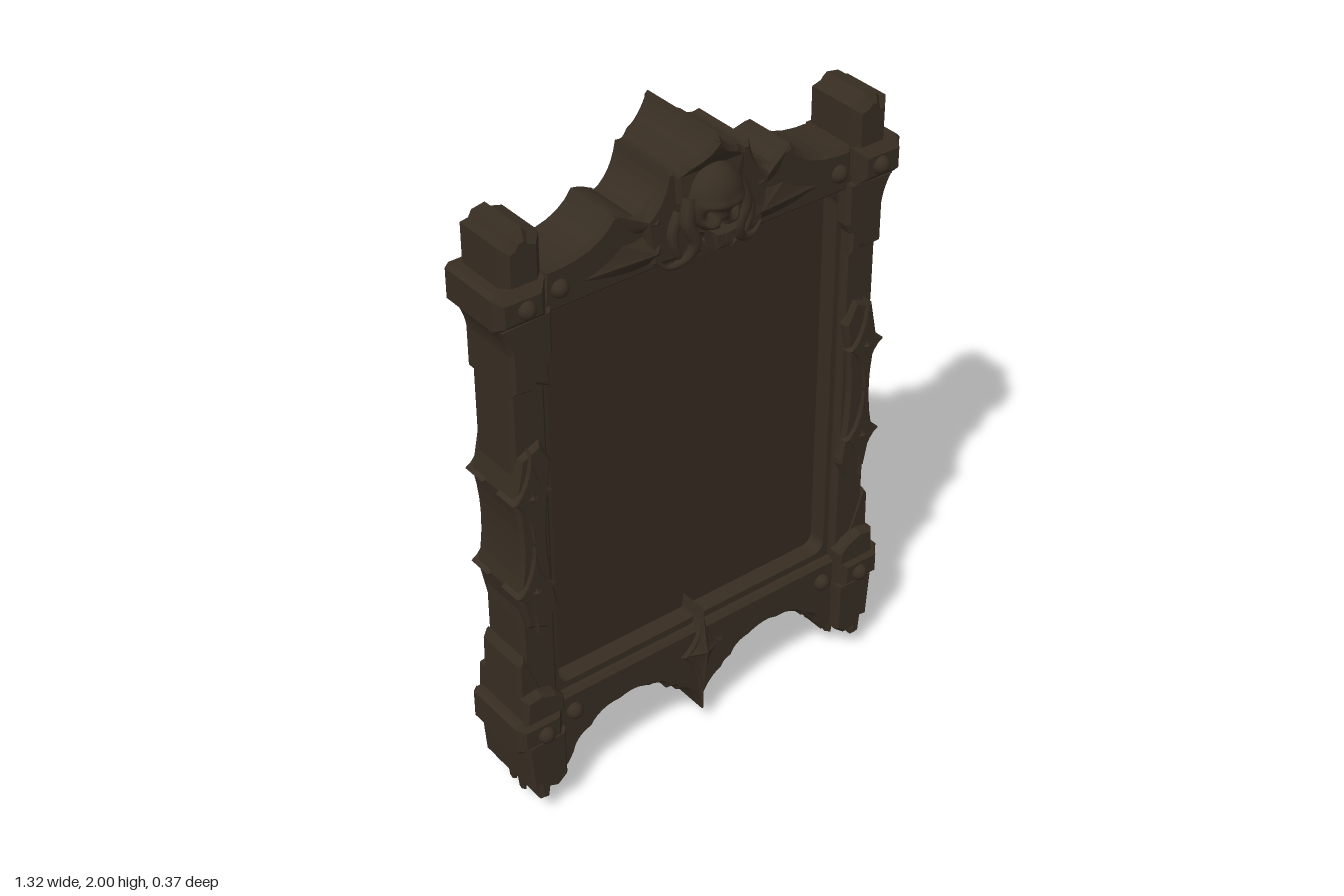
import * as THREE from 'three';

const wood = new THREE.MeshStandardMaterial({ color: 0x372d22 });
wood.name = 'dark wood';
const board = new THREE.MeshStandardMaterial({ color: 0x352b20 });
board.name = 'dark panel';

function add(parent, geo, name, mat = wood) {
  const m = new THREE.Mesh(geo, mat);
  m.name = name;
  parent.add(m);
  return m;
}

// Outline points; a four-number entry is a quadratic curve (control, end)
function outline(list) {
  const out = [];
  for (const p of list) {
    if (p.length === 2) { out.push(new THREE.Vector2(...p)); continue; }
    const c = new THREE.QuadraticBezierCurve(out.at(-1), new THREE.Vector2(p[0], p[1]), new THREE.Vector2(p[2], p[3]));
    out.push(...c.getPoints(6).slice(1));
  }
  return out;
}
const flip = (pts, s) => pts.map(p => new THREE.Vector2(p.x * s, p.y));
// Half outline running from the middle round to the middle, completed by its mirror image
const symmetric = list => {
  const h = outline(list);
  return [...h, ...flip(h, -1).reverse().filter(p => Math.abs(p.x) > 1e-4)];
};

// Bevelled slab of the given half depth, centred on z
function slab(pts, half, bevel = 0.008, z = 0) {
  const shape = Array.isArray(pts) ? new THREE.Shape(pts) : pts;
  const g = new THREE.ExtrudeGeometry(shape, {
    depth: 2 * (half - bevel), bevelEnabled: bevel > 0, bevelSize: bevel, bevelOffset: -bevel,
    bevelThickness: bevel, bevelSegments: 1, curveSegments: 6,
  });
  return g.translate(0, 0, z - half + bevel);
}
const rect = (x0, y0, x1, y1) => outline([[x0, y0], [x1, y0], [x1, y1], [x0, y1]]);

// Slab that grows thinner away from the middle, leaving a keel at x = 0
function keel(pts, half, bevel, reach, loss) {
  const g = slab(pts, half, bevel), pos = g.attributes.position;
  for (let i = 0; i < pos.count; i++) {
    pos.setZ(i, pos.getZ(i) * (1 - loss * Math.min(1, Math.abs(pos.getX(i)) / reach)));
  }
  g.computeVertexNormals();
  return g;
}

// Faceted boss: outline at z0 rising to a single peak at z1
function facet(pts, cx, cy, z0, z1) {
  const p = THREE.ShapeUtils.isClockWise(pts) ? [...pts].reverse() : pts;
  const pos = [];
  p.forEach((a, i) => {
    const b = p[(i + 1) % p.length];
    pos.push(a.x, a.y, z0, b.x, b.y, z0, cx, cy, z1);
  });
  const g = new THREE.BufferGeometry();
  g.setAttribute('position', new THREE.Float32BufferAttribute(pos, 3));
  g.computeVertexNormals();
  return g;
}

// Four-pointed star with concave sides
function star(cx, cy, rx, up, down) {
  const k = 0.16;
  return outline([[cx + rx, cy], [cx + rx * k, cy + up * k, cx, cy + up], [cx - rx * k, cy + up * k, cx - rx, cy],
    [cx - rx * k, cy - down * k, cx, cy - down], [cx + rx * k, cy - down * k, cx + rx, cy]]).slice(0, -1);
}

// Tube that thins towards its end
function lock(points, r) {
  const n = 20, m = 8;
  const curve = new THREE.CatmullRomCurve3(points.map(p => new THREE.Vector3(...p)));
  const g = new THREE.TubeGeometry(curve, n, r, m);
  const pos = g.attributes.position, v = new THREE.Vector3();
  for (let i = 0; i < pos.count; i++) {
    const t = Math.floor(i / (m + 1)) / n, c = curve.getPointAt(t);
    v.fromBufferAttribute(pos, i).sub(c).multiplyScalar(1 - 0.85 * t * t).add(c);
    pos.setXYZ(i, v.x, v.y, v.z);
  }
  return g;
}

function skullGeometry() {
  const g = new THREE.SphereGeometry(1, 56, 44);
  const pos = g.attributes.position;
  const bump = (x, y, cx, cy, rx, ry) => Math.exp(-(((x - cx) / rx) ** 2) - ((y - cy) / ry) ** 2);
  for (let i = 0; i < pos.count; i++) {
    let x = pos.getX(i), z = pos.getZ(i);
    const y = pos.getY(i), ax = Math.abs(x);
    if (z > 0) {
      z -= 0.6 * bump(ax, y, 0.4, -0.14, 0.22, 0.2) * z;        // eye sockets
      z -= 0.4 * bump(x, y, 0, -0.48, 0.11, 0.16);              // nose
      z += 0.14 * bump(ax, y, 0.4, 0.18, 0.35, 0.1);            // brow
      z += 0.16 * bump(ax, y, 0.5, -0.45, 0.2, 0.12);           // cheekbones
    }
    if (y < -0.35) x *= 1 + (y + 0.35) * 0.35;
    pos.setXYZ(i, x * 0.086, y * 0.1, z * 0.076);
  }
  g.computeVertexNormals();
  return g;
}

// Skull with side locks and a pointed beard, for one face
function skullOrnament() {
  const o = new THREE.Group();
  o.name = 'skullOrnament';
  const skull = add(o, skullGeometry(), 'skull');
  skull.position.set(0, 1.81, 0.106);
  skull.rotation.x = 0.15;
  add(o, slab(outline([[-0.042, 1.745], [-0.028, 1.685], [0.028, 1.685], [0.042, 1.745]]), 0.032, 0.012, 0.138), 'jaw');
  for (let i = -2; i <= 2; i++) {
    add(o, new THREE.BoxGeometry(0.01, 0.026, 0.012), 'tooth').position.set(i * 0.0125, 1.722, 0.169 - Math.abs(i) * 0.002);
  }
  add(o, facet(outline([[-0.045, 1.69], [-0.03, 1.63, 0, 1.585], [0.03, 1.63, 0.045, 1.69], [0, 1.72]]), 0, 1.68, 0.075, 0.13), 'beard');
  for (const s of [-1, 1]) {
    add(o, lock([[0.078 * s, 1.84, 0.115], [0.092 * s, 1.77, 0.125], [0.07 * s, 1.71, 0.128],
      [0.09 * s, 1.665, 0.118], [0.14 * s, 1.65, 0.105], [0.17 * s, 1.675, 0.1]], 0.022), 'sideLock');
    add(o, lock([[0.1 * s, 1.8, 0.1], [0.125 * s, 1.74, 0.105], [0.11 * s, 1.68, 0.108], [0.07 * s, 1.635, 0.1]], 0.018), 'sideLock');
  }
  return o;
}

// Applied carving on one face: wings, stars and bolts
function faceOrnament() {
  const o = new THREE.Group();
  o.name = 'faceOrnament';
  for (const s of [-1, 1]) {
    for (const y of [1.7, 0.305]) {
      for (const [x, z] of [[0.575, 0.123], [0.455, 0.09]]) {
        const b = add(o, new THREE.SphereGeometry(0.027, 14, 8, 0, Math.PI * 2, 0, Math.PI / 2).rotateX(Math.PI / 2), 'bolt');
        b.position.set(x * s, y, z);
      }
    }
    const wing = outline([[0.1, 1.66], [0.2, 1.655], [0.3, 1.65, 0.42, 1.69], [0.33, 1.71, 0.28, 1.755], [0.2, 1.74, 0.1, 1.81]]);
    add(o, facet(flip(wing, s), 0.17 * s, 1.7, 0.088, 0.12), 'wing');
    const feather = outline([[0.1, 1.75], [0.22, 1.76], [0.27, 1.78, 0.285, 1.84], [0.22, 1.79, 0.1, 1.85]]);
    add(o, facet(flip(feather, s), 0.17 * s, 1.785, 0.088, 0.118), 'feather');
    for (const y of [1.115, 0.805]) {
      add(o, facet(star(0.573 * s, y, 0.045, 0.07, 0.07), 0.573 * s, y, 0.108, 0.113), 'starFacet');
      add(o, facet(star(0.573 * s, y, 0.022, 0.022, 0.022), 0.573 * s, y, 0.108, 0.12), 'starStud');
    }
  }
  add(o, facet(star(0, 0.29, 0.062, 0.14, 0.2), 0, 0.29, 0.096, 0.12), 'lowerStar');
  return o;
}

function post(s) {
  const g = new THREE.Group();
  g.name = s > 0 ? 'leftPost' : 'rightPost';
  const part = (list, half, name, bevel) => add(g, slab(flip(outline(list), s), half, bevel), name);
  part([[0.5, 0.2], [0.613, 0.2], [0.613, 0.7], [0.605, 0.95], [0.613, 1.25], [0.613, 1.7], [0.5, 1.7]], 0.084, 'shaft', 0.012);
  // Worn top
  part([[0.5, 1.7], [0.625, 1.7], [0.625, 1.872], [0.6, 1.876], [0.59, 1.895], [0.55, 1.902], [0.535, 1.885], [0.5, 1.875]], 0.1, 'postTop', 0.024);
  // Brackets with cut corners
  for (const y of [1.645, 0.255]) {
    part([[0.503, y], [0.65, y], [0.662, y + 0.012], [0.662, y + 0.1], [0.65, y + 0.112], [0.503, y + 0.112]], 0.125, 'bracket', 0.026);
  }
  // Sleeves above and below the brackets
  part([[0.485, 1.66], [0.485, 1.53], [0.5, 1.5], [0.5, 1.43], [0.54, 1.45], [0.55, 1.435], [0.613, 1.44], [0.613, 1.56], [0.62, 1.61, 0.65, 1.65]], 0.104, 'upperSleeve', 0.01);
  part([[0.5, 0.35], [0.635, 0.35], [0.63, 0.44], [0.58, 0.45], [0.53, 0.43], [0.5, 0.4]], 0.118, 'lowerSleeve', 0.01);
  part([[0.55, 0.42], [0.632, 0.42], [0.63, 0.55], [0.612, 0.58], [0.58, 0.5]], 0.088, 'sleeveRemnant', 0.008);
  part([[0.5, 0.28], [0.635, 0.28], [0.622, 0.11], [0.6, 0.115], [0.595, 0.06], [0.565, 0.055], [0.56, 0.09], [0.535, 0.08], [0.5, 0.11]], 0.12, 'foot', 0.01);
  // Broken splinters under the foot
  const tips = s > 0 ? [[0.52, 0.05], [0.545, 0.03], [0.565, 0], [0.585, 0.02], [0.605, 0.05]]
    : [[0.52, 0.06], [0.54, 0.045], [0.573, 0.03], [0.59, 0.04], [0.605, 0.06]];
  tips.forEach(([x, y], i) => {
    const c = add(g, new THREE.CylinderGeometry(0.035, 0.014, 0.15, 5), 'splinter');
    c.position.set(x * s, y + 0.075, (i - 2) * (i % 2 ? -0.03 : 0.02));
    c.scale.x = 0.6;
  });
  // Side plate with scooped edge, and stars on both faces
  part([[0.5, 0.72], [0.535, 0.65], [0.6, 0.68], [0.625, 0.805], [0.59, 0.96, 0.625, 1.115], [0.6, 1.24], [0.535, 1.27], [0.5, 1.2], [0.545, 0.96, 0.5, 0.74]], 0.1, 'sidePlate', 0.01);
  for (const y of [1.115, 0.805]) {
    for (const z of [-0.07, 0.07]) add(g, slab(star(0.573 * s, y, 0.063, 0.15, 0.15), 0.041, 0.004, z), 'postStar');
  }
  return g;
}

function roundedHole(x, y0, y1, r) {
  const p = new THREE.Path();
  p.moveTo(-x + r, y0).lineTo(x - r, y0).quadraticCurveTo(x, y0, x, y0 + r).lineTo(x, y1 - r).quadraticCurveTo(x, y1, x - r, y1);
  p.lineTo(-x + r, y1).quadraticCurveTo(-x, y1, -x, y1 - r).lineTo(-x, y0 + r).quadraticCurveTo(-x, y0, -x + r, y0);
  return p;
}

export function createModel() {
  const model = new THREE.Group();
  model.name = 'carvedFrame';
  const body = new THREE.Group();
  body.name = 'frameBody';
  body.position.z = -0.015;
  model.add(body);

  // Thin panel and rounded inner lip
  add(body, slab(rect(-0.5, 0.36, 0.5, 1.65), 0.006, 0), 'panel', board);
  const lip = new THREE.Shape(rect(-0.51, 0.34, 0.51, 1.66));
  lip.holes.push(roundedHole(0.483, 0.392, 1.617, 0.04));
  add(body, slab(lip, 0.062, 0), 'innerLip');

  // Top rail with its scalloped crest, stepping out to a keeled peak
  const crest = [[0.5, 1.765], [0.34, 1.76, 0.29, 1.845], [0.25, 1.84, 0.22, 1.815], [0.15, 1.83, 0.135, 1.92],
    [0.1, 1.91, 0.085, 1.93], [0.03, 1.94, 0, 2.0]];
  add(body, slab(symmetric([[0, 1.635], [0.51, 1.635], ...crest]), 0.093, 0.012), 'topRail');
  add(body, slab(symmetric([[0, 1.64], [0.18, 1.66], [0.205, 1.8], ...crest.slice(3)]), 0.113, 0.012), 'crestStep');
  add(body, keel(symmetric([[0, 1.7], [0.06, 1.72], [0.11, 1.82], [0.115, 1.912], ...crest.slice(4)]), 0.155, 0.014, 0.11, 0.22), 'crestPeak');

  // Bottom rail with scalloped underside
  add(body, slab(symmetric([[0, 0.37], [0.51, 0.37], [0.51, 0.1], [0.475, 0.1], [0.45, 0.14], [0.44, 0.19, 0.39, 0.2],
    [0.36, 0.25, 0.29, 0.245], [0.24, 0.265, 0.18, 0.235], [0.13, 0.23, 0.12, 0.19], [0.09, 0.19, 0.085, 0.165],
    [0.03, 0.15, 0, 0.055]]), 0.088, 0.012), 'bottomRail');
  add(body, slab(star(0, 0.29, 0.075, 0.15, 0.235), 0.1, 0.006), 'bottomStar');

  for (const s of [-1, 1]) body.add(post(s));

  // Same carving on the front and the back
  for (const turn of [0, Math.PI]) {
    const face = faceOrnament();
    face.rotation.y = turn;
    body.add(face);
    const skull = skullOrnament();
    skull.rotation.y = turn;
    model.add(skull);
  }
  return model;
}
